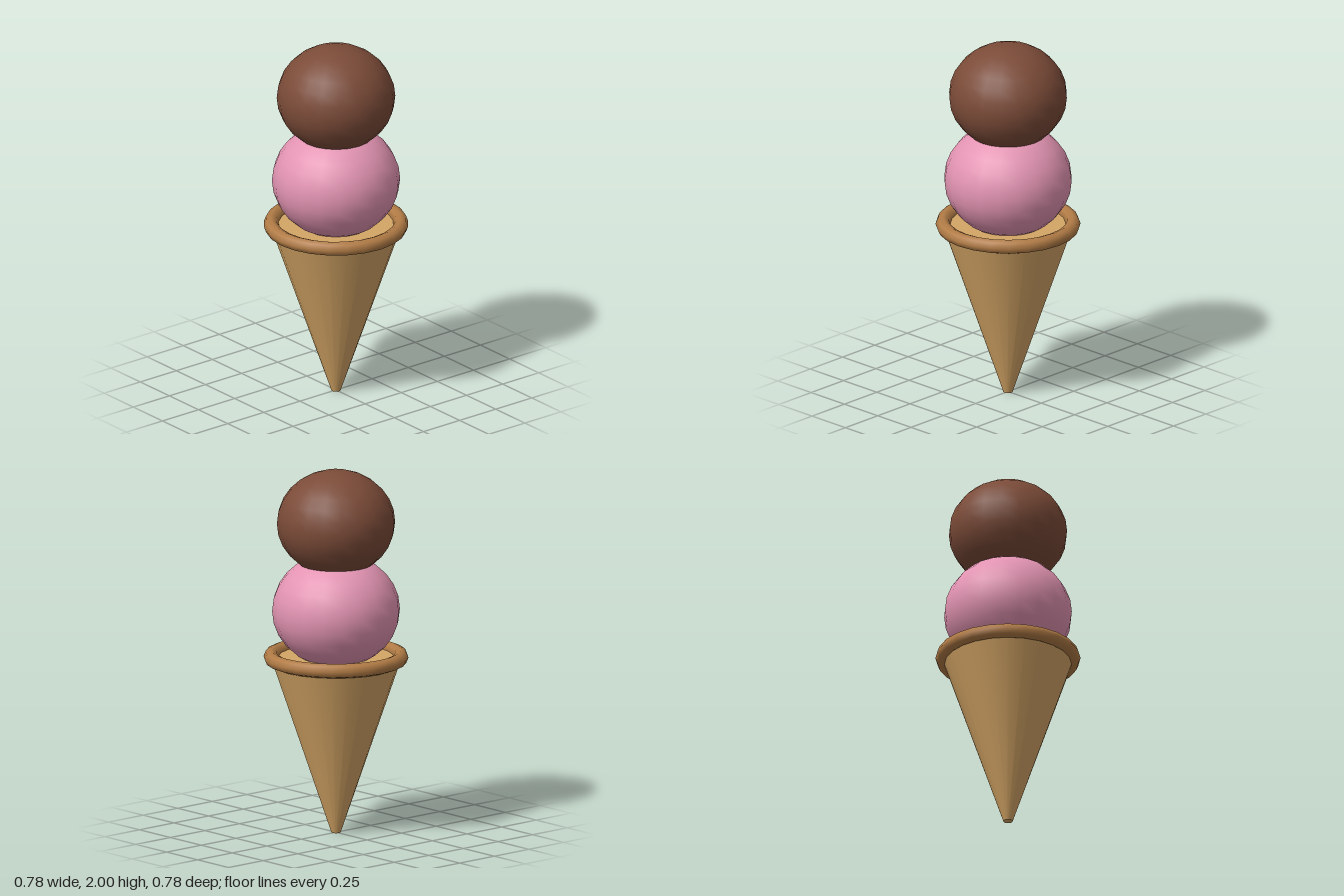
import * as THREE from 'three';

const flatColor = (name, hex) => {
  const material = new THREE.MeshStandardMaterial({ color: hex });
  material.name = name;
  return material;
};

export function createModel() {
  const group = new THREE.Group();
  group.name = 'iceCreamCone';

  const waffle = flatColor('waffle tan', 0xd4a565);
  const crust = flatColor('crust brown', 0xb27c46);
  const strawberry = flatColor('strawberry pink', 0xe394b2);
  const chocolate = flatColor('chocolate brown', 0x7b4b38);

  const add = (name, geometry, material, y) => {
    const mesh = new THREE.Mesh(geometry, material);
    mesh.name = name;
    mesh.position.y = y;
    group.add(mesh);
    return mesh;
  };

  // Tapered cone with a blunt tip, closed just inside the rim
  const coneHeight = 0.97;
  add('cone', new THREE.CylinderGeometry(0.355, 0.025, coneHeight, 24), waffle, coneHeight / 2);

  // Rolled rim with an eight-sided section
  add('rim', new THREE.TorusGeometry(0.351, 0.04, 8, 24).rotateX(Math.PI / 2), crust, coneHeight);

  // Slightly flattened scoops, the upper one sunk into the lower
  const scoop = (radius, height) =>
    new THREE.SphereGeometry(radius, 20, 14).scale(1, height / radius, 1);
  add('lowerScoop', scoop(0.346, 0.311), strawberry, 1.23);
  add('upperScoop', scoop(0.32, 0.288), chocolate, 1.712);

  return group;
}
